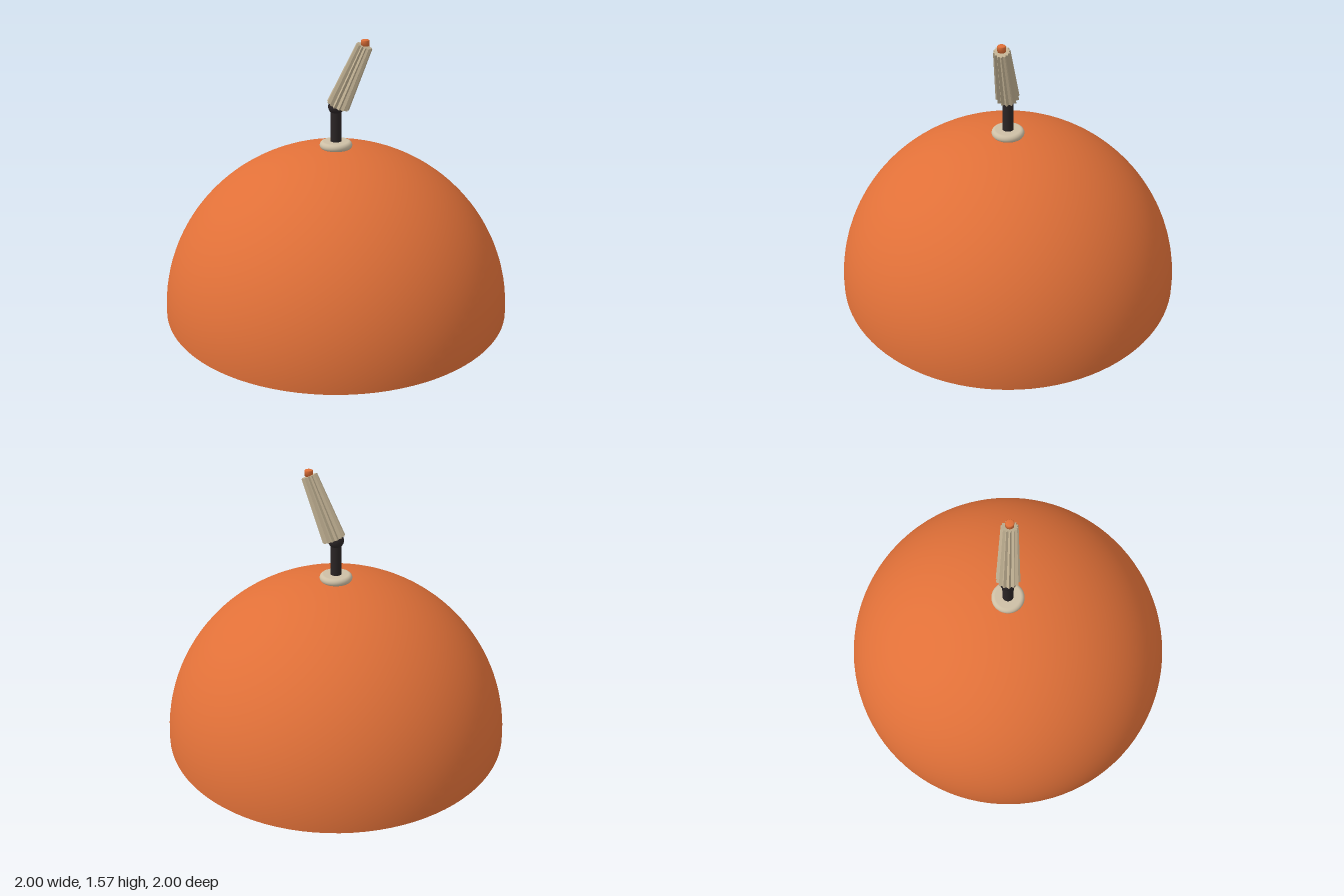
import * as THREE from 'three';

export function createModel() {
  const group = new THREE.Group();
  const mat = (name, color, extra = {}) => {
    const m = new THREE.MeshStandardMaterial({ color, ...extra });
    m.name = name;
    return m;
  };
  const orange = mat('orange shell', 0xe07038, { side: THREE.DoubleSide });
  const cream = mat('cream', 0xcdbfa5);
  const pleat = mat('beige cloth', 0xc2b294, { flatShading: true });
  const black = mat('dark metal', 0x2b2526);

  const add = (name, geometry, material, x = 0, y = 0, z = 0) => {
    const mesh = new THREE.Mesh(geometry, material);
    mesh.name = name;
    mesh.position.set(x, y, z);
    group.add(mesh);
    return mesh;
  };

  // Hollow dome, open underneath
  const dome = new THREE.SphereGeometry(1, 96, 32, 0, Math.PI * 2, 0, Math.PI / 2);
  dome.scale(1, 0.95, 1);
  add('dome', dome, orange);

  // Rounded collar on the crown
  const collar = new THREE.Shape();
  collar.moveTo(0, 0.935);
  collar.lineTo(0.073, 0.935);
  collar.absarc(0.07, 0.963, 0.022, -Math.PI / 2, Math.PI / 2, false);
  collar.lineTo(0, 0.985);
  add('collar', new THREE.LatheGeometry(collar.getPoints(8), 40), cream);

  // Upright stem and ball joint
  add('stem', new THREE.CylinderGeometry(0.031, 0.031, 0.23, 24), black, 0, 1.075, 0);
  add('ballJoint', new THREE.SphereGeometry(0.044, 24, 16), black, 0, 1.185, 0);

  // Tapered pleated sleeve leaning toward the front left
  const base = new THREE.Vector3(0.008, 1.19, 0.008);
  const top = new THREE.Vector3(0.112, 1.532, 0.112);
  const axis = top.clone().sub(base);
  const folds = 14;
  const sleeve = new THREE.CylinderGeometry(0.045, 0.066, axis.length(), folds * 2, 1);
  const p = sleeve.attributes.position;
  for (let i = 0; i < p.count; i++) {
    const x = p.getX(i), z = p.getZ(i);
    const step = Math.round(Math.atan2(x, z) / (Math.PI / folds));
    const k = step % 2 === 0 ? 1 : 0.8;
    p.setX(i, x * k);
    p.setZ(i, z * k);
  }
  sleeve.computeVertexNormals();
  const sleeveMesh = add('pleatedSleeve', sleeve, pleat);
  sleeveMesh.position.copy(base).add(top).multiplyScalar(0.5);
  sleeveMesh.quaternion.setFromUnitVectors(new THREE.Vector3(0, 1, 0), axis.normalize());

  // Small upright cap at the tip
  const cap = [[0, -0.02], [0.022, -0.02], [0.023, 0.008], [0.019, 0.013], [0, 0.013]]
    .map(([r, y]) => new THREE.Vector2(r, y));
  add('tipCap', new THREE.LatheGeometry(cap, 20), orange, 0.114, 1.552, 0.114);

  return group;
}
